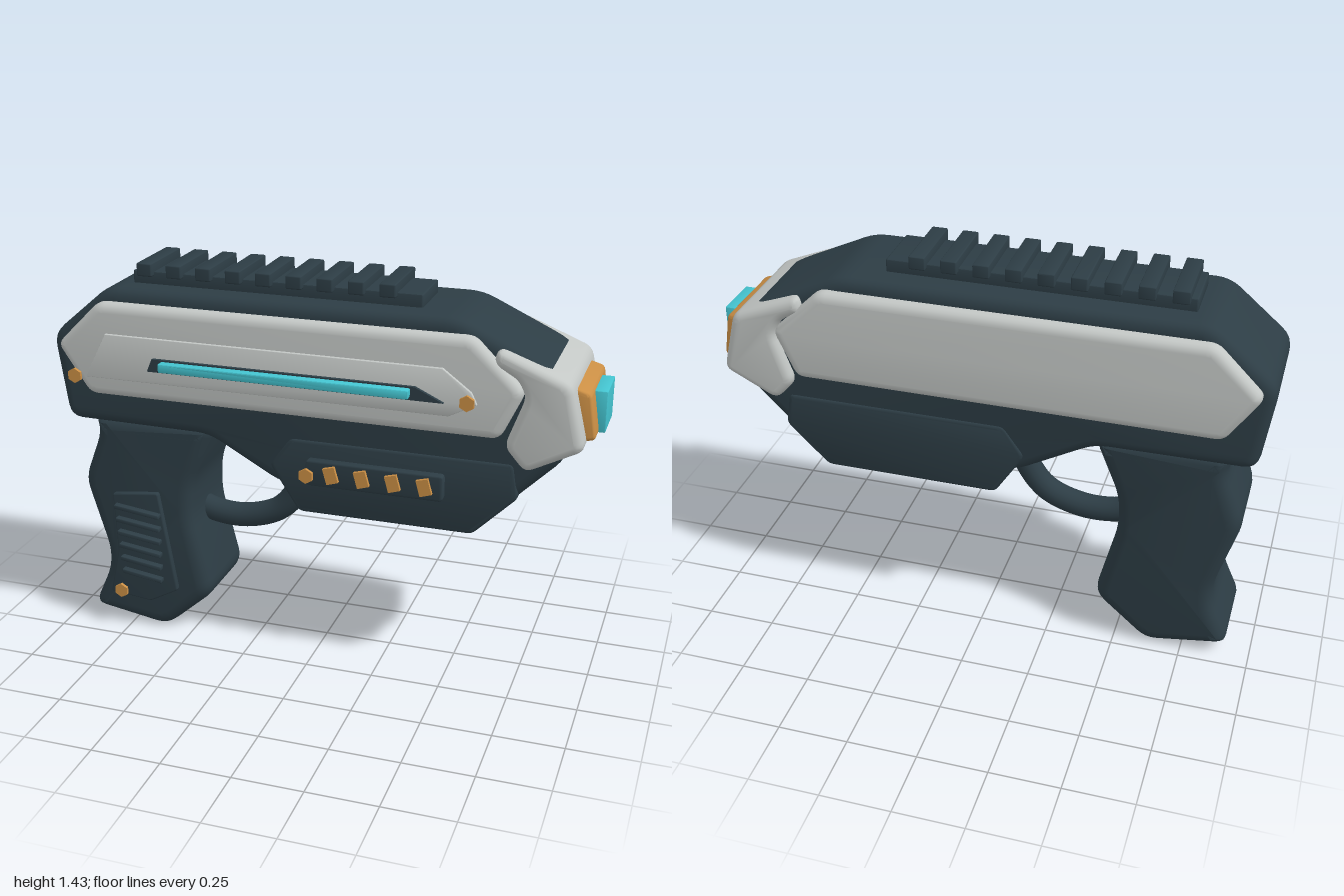
import * as THREE from 'three';
import { toCreasedNormals } from 'three/addons/utils/BufferGeometryUtils.js';

const material = (name, color) => {
  const m = new THREE.MeshStandardMaterial({ color });
  m.name = name;
  return m;
};

// Closed outline whose corners are softened by radius r
function roundedShape(points, r) {
  const p = points.map(([x, y]) => new THREE.Vector2(x, y));
  const shape = new THREE.Shape();
  p.forEach((c, i) => {
    const toward = (q) => {
      const d = q.clone().sub(c);
      const len = d.length();
      return c.clone().addScaledVector(d, Math.min(r, len * 0.4) / len);
    };
    const a = toward(p[(i + p.length - 1) % p.length]);
    const b = toward(p[(i + 1) % p.length]);
    if (i === 0) shape.moveTo(a.x, a.y);
    else shape.lineTo(a.x, a.y);
    if (r > 0) shape.quadraticCurveTo(c.x, c.y, b.x, b.y);
  });
  shape.closePath();
  return shape;
}

export function createModel() {
  const group = new THREE.Group();
  group.name = 'blaster';
  const dark = material('dark slate', 0x2d3d45);
  const light = material('light grey', 0xc3c7c5);
  const orange = material('orange', 0xcb8f45);
  const cyan = material('cyan', 0x44c4d0);
  const MID = -0.03; // centre plane of the gun

  const add = (name, geometry, mat) => {
    const mesh = new THREE.Mesh(geometry, mat);
    mesh.name = name;
    group.add(mesh);
    return mesh;
  };

  // Side outline extruded from z0 to z1 with rounded edges
  const slab = (name, mat, points, z0, z1, bevel = 0, r = bevel) => {
    const geo = new THREE.ExtrudeGeometry(roundedShape(points, r), {
      depth: z1 - z0 - 2 * bevel,
      bevelEnabled: bevel > 0,
      bevelThickness: bevel,
      bevelSize: bevel,
      bevelOffset: -bevel,
      bevelSegments: 4,
      curveSegments: 4,
    });
    geo.translate(0, 0, z0 + bevel);
    return add(name, toCreasedNormals(geo, 0.6), mat);
  };
  const centred = (name, mat, points, half, bevel, r) =>
    slab(name, mat, points, MID - half, MID + half, bevel, r);
  const rect = (x0, y0, x1, y1) => [[x0, y0], [x1, y0], [x1, y1], [x0, y1]];

  // Main body
  centred('body', dark, [
    [-0.955, 0.84], [-0.4, 0.835], [-0.12, 0.68], [0.67, 0.68], [0.89, 0.9],
    [0.9, 1.16], [0.8, 1.22], [0.51, 1.355], [-0.77, 1.355], [-1.0, 1.16],
  ], 0.207, 0.04, 0.05);

  // Pale shell showing on both sides
  centred('sideShell', light, [
    [-0.84, 0.962], [0.67, 0.962], [0.75, 1.135], [0.57, 1.308],
    [-0.79, 1.308], [-0.96, 1.14],
  ], 0.25, 0.032, 0.03);

  // Muzzle cap
  centred('muzzleCap', light, [
    [0.76, 0.85], [0.955, 0.95], [0.9, 1.175], [0.65, 1.275],
    [0.635, 1.215], [0.72, 1.175], [0.75, 1.115], [0.685, 0.935],
  ], 0.24, 0.03, 0.03);
  centred('muzzleRing', orange, [
    [0.89, 0.95], [0.98, 0.97], [0.955, 1.13], [0.87, 1.155],
  ], 0.168, 0.015);
  centred('muzzleLens', cyan, rect(0.94, 0.972, 1.0, 1.118), 0.088, 0.004);

  // Fore grip block under the barrel
  centred('foreGrip', dark, [
    [-0.05, 0.59], [0.585, 0.59], [0.74, 0.745], [0.72, 0.87], [-0.08, 0.87],
    [-0.16, 0.76],
  ], 0.213, 0.015, 0.02);

  // Handle
  centred('handle', dark, [
    [-0.925, 0.05], [-0.615, 0.0], [-0.415, 0.175], [-0.49, 0.48],
    [-0.485, 0.62], [-0.39, 0.85], [-0.87, 0.85], [-0.855, 0.78],
    [-0.93, 0.585], [-0.845, 0.3], [-0.85, 0.215],
  ], 0.18, 0.05, 0.05);

  // Trigger guard
  const guardPath = new THREE.CatmullRomCurve3([
    [-0.54, 0.48], [-0.44, 0.45], [-0.32, 0.45], [-0.19, 0.5], [-0.11, 0.61],
    [-0.09, 0.73],
  ].map(([x, y]) => new THREE.Vector3(x, y, MID)));
  add('triggerGuard', new THREE.TubeGeometry(guardPath, 32, 0.046, 16, false), dark);

  // Top rail with nine teeth
  centred('railBase', dark, rect(-0.705, 1.33, 0.365, 1.4), 0.106, 0.006);
  for (let i = 0; i < 9; i++) {
    const x = -0.652 + i * 0.1123;
    centred('railTooth', dark, rect(x - 0.029, 1.385, x + 0.029, 1.433), 0.13, 0.006);
  }

  // Inset plate and light strip on the front side
  slab('sidePlate', light, [
    [-0.84, 1.035], [0.5, 1.035], [0.595, 1.085], [0.575, 1.125],
    [0.475, 1.2], [-0.755, 1.2],
  ], 0.21, 0.232, 0.003, 0);
  slab('stripRecess', dark, [
    [-0.59, 1.083], [0.485, 1.083], [0.385, 1.13], [-0.57, 1.13],
  ], 0.225, 0.245);
  slab('lightStrip', cyan, rect(-0.535, 1.093, 0.37, 1.125), 0.24, 0.275, 0.005);

  // Fore grip badge with slanted marks
  slab('foreGripPlate', dark, rect(-0.012, 0.71, 0.485, 0.806), 0.175, 0.212, 0.008, 0.015);
  for (let i = 0; i < 4; i++) {
    const x = 0.083 + i * 0.1123;
    slab('slantedMark', orange, [
      [x - 0.012, 0.727], [x + 0.03, 0.74], [x + 0.014, 0.796], [x - 0.028, 0.785],
    ], 0.208, 0.226);
  }

  // Handle plate with ribs
  slab('handlePlate', dark, [
    [-0.825, 0.14], [-0.66, 0.122], [-0.545, 0.185], [-0.61, 0.578],
    [-0.795, 0.555], [-0.785, 0.32],
  ], 0.14, 0.17, 0.006, 0.01);
  for (let i = 0; i < 6; i++) {
    const y = 0.5 - i * 0.053;
    const x = -0.78 + i * 0.004;
    slab('handleRib', dark, [
      [x, y + 0.004], [-0.6, y - 0.018], [-0.6, y - 0.002], [x, y + 0.02],
    ], 0.165, 0.195, 0.003);
  }

  // Hexagonal bolts
  for (const [x, y, z] of [
    [-0.875, 1.04, 0.246], [0.565, 1.093, 0.246], [0.003, 0.763, 0.25],
    [-0.773, 0.158, 0.184],
  ]) {
    const geo = new THREE.CylinderGeometry(0.028, 0.028, 0.012, 6).toNonIndexed();
    geo.rotateX(Math.PI / 2);
    geo.computeVertexNormals();
    add('hexBolt', geo, orange).position.set(x, y, z);
  }

  return group;
}
